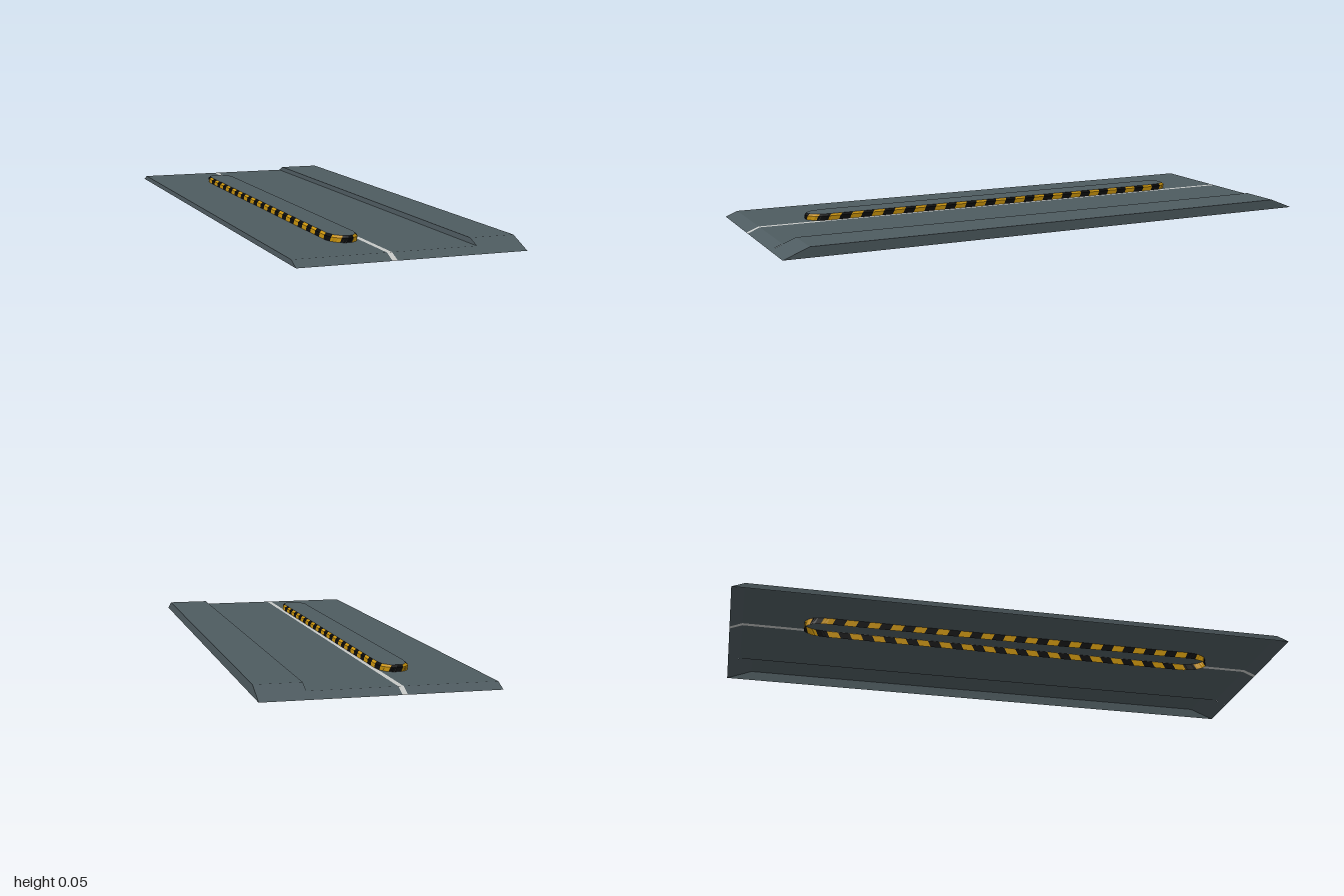
import * as THREE from 'three';

const mat = (name, color) => {
  const m = new THREE.MeshStandardMaterial({ color, side: THREE.DoubleSide });
  m.name = name;
  return m;
};

// Flat-shaded mesh from a list of four-cornered faces
function quadMesh(name, quads, material) {
  const pos = [];
  for (const [a, b, c, d] of quads) pos.push(...a, ...b, ...c, ...a, ...c, ...d);
  const g = new THREE.BufferGeometry();
  g.setAttribute('position', new THREE.Float32BufferAttribute(pos, 3));
  g.computeVertexNormals();
  const mesh = new THREE.Mesh(g, material);
  mesh.name = name;
  return mesh;
}

export function createModel() {
  const asphalt = mat('asphalt', 0x4e5b60);
  const white = mat('road paint', 0xc6c8c6);
  const yellow = mat('curb yellow', 0xc8920c);
  const black = mat('curb black', 0x0c0c0c);
  const model = new THREE.Group();
  model.name = 'roadSection';

  // Open-bottomed road sheet with ramped ends: [z, y] profiles along the length
  const BASE = 0.006;
  const profile = (zFlat, h) => [[-1, BASE], [-zFlat, h], [zFlat, h], [1, BASE]];
  const low = profile(0.956, 0.024);
  const high = profile(0.91, 0.042);
  const strip = (name, x0, x1, p, material) => {
    const quads = [];
    for (let i = 0; i < 3; i++) {
      const [za, ya] = p[i], [zb, yb] = p[i + 1];
      quads.push([[x0, ya, za], [x0, yb, zb], [x1, yb, zb], [x1, ya, za]]);
    }
    model.add(quadMesh(name, quads, material));
  };
  strip('rightLane', -0.385, -0.076, low, asphalt);
  strip('laneLine', -0.076, -0.059, low, white);
  strip('leftLane', -0.059, 0.23, low, asphalt);
  strip('sidewalk', 0.23, 0.385, high, asphalt);

  // Upright faces along the length
  const wall = (name, x, p, out) => {
    const q = p.map(([z, y]) => [x, y, z]);
    model.add(quadMesh(name, [out < 0 ? q : q.reverse()], asphalt));
  };
  wall('rightEdge', -0.385, low, -1);
  wall('leftEdge', 0.385, high, 1);
  wall('sidewalkKerb', 0.23, [low[1], high[1], high[2], low[2]], -1);

  // Island outline, in x and z
  const CX = -0.127;
  const half = [[0, 0.775], [0.02, 0.768], [0.042, 0.745], [0.053, 0.705],
    [0.053, -0.665], [0.046, -0.71], [0.024, -0.737], [0, -0.74]];
  const outline = [...half, ...half.slice(1, -1).reverse().map(([x, z]) => [-x, z])];
  const path = new THREE.Path(outline.map(([x, z]) => new THREE.Vector2(x, z)));
  path.closePath();
  path.arcLengthDivisions = 200;

  // Striped border: upright band with a small sloped lip, stripes leaning
  const rows = [{ y: 0, inset: 0, lean: 0 }, { y: 0.039, inset: 0, lean: 0.006 },
    { y: 0.046, inset: 0.007, lean: 0.007 }];
  const point = (t, { y, inset, lean }) => {
    const p = path.getPointAt((((t + lean) % 1) + 1) % 1);
    const z = p.y - 0.018;
    return [CX + p.x * (1 - inset / 0.053), y, z * (1 - inset / 0.757) + 0.018];
  };
  const BLOCKS = 76, SUB = 4, STEPS = BLOCKS * SUB;
  const faces = [[], []];
  for (let i = 0; i < STEPS; i++) {
    const t0 = i / STEPS, t1 = (i + 1) / STEPS;
    const list = faces[Math.floor(i / SUB) % 2];
    for (let r = 0; r < 2; r++) {
      list.push([point(t0, rows[r]), point(t1, rows[r]),
        point(t1, rows[r + 1]), point(t0, rows[r + 1])]);
    }
  }
  const island = new THREE.Group();
  island.name = 'trafficIsland';
  island.add(quadMesh('yellowStripes', faces[0], yellow));
  island.add(quadMesh('blackStripes', faces[1], black));

  // Island top
  const topShape = new THREE.Shape(outline.map(([x, z]) =>
    new THREE.Vector2(CX + x * 0.87, -((z - 0.018) * 0.991 + 0.018))));
  const top = new THREE.Mesh(new THREE.ShapeGeometry(topShape), asphalt);
  top.rotation.x = -Math.PI / 2;
  top.position.y = 0.046;
  top.name = 'islandTop';
  island.add(top);
  model.add(island);
  return model;
}
